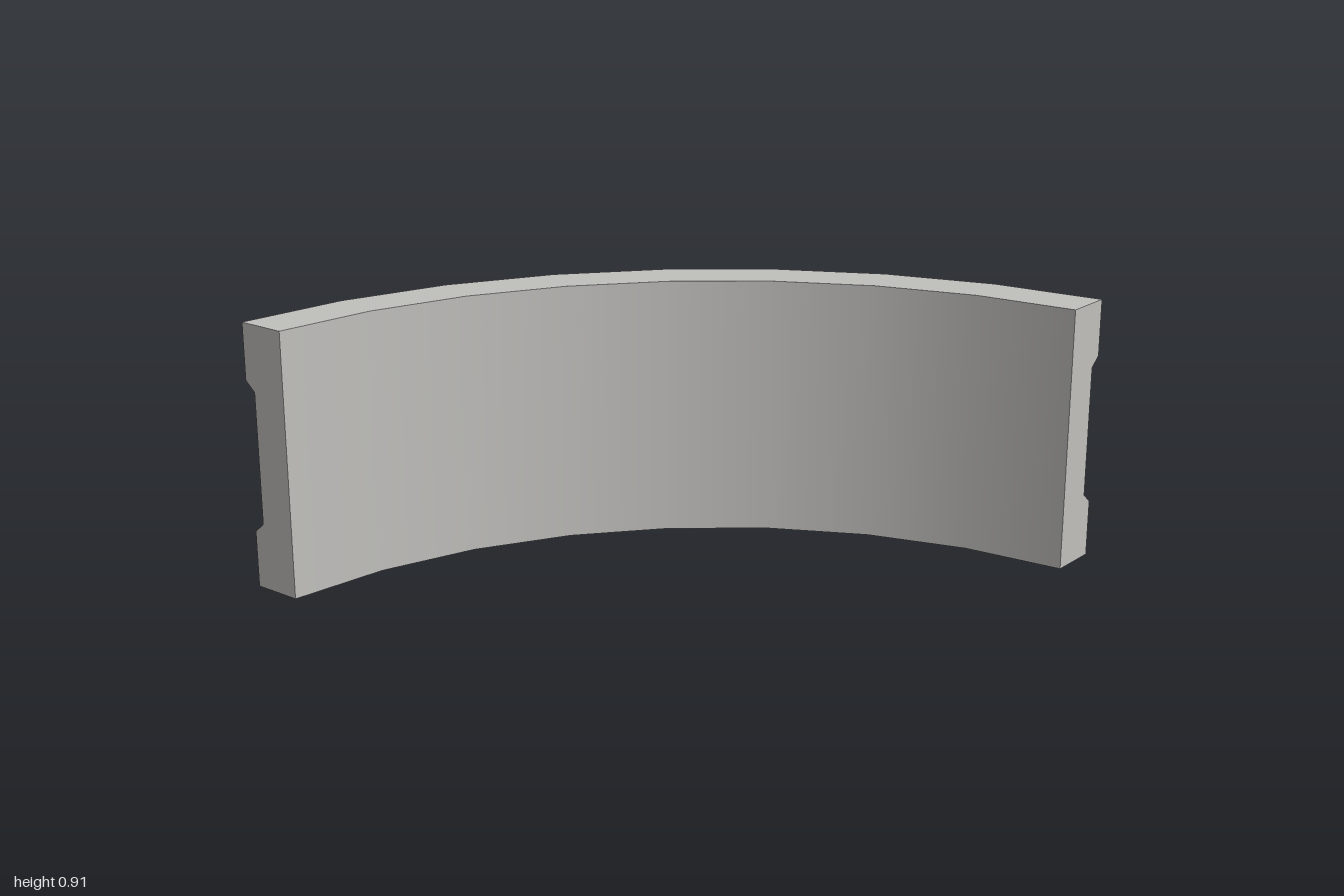
import * as THREE from 'three';

export function createModel() {
  const group = new THREE.Group();
  group.name = 'curvedWall';

  const grey = new THREE.MeshStandardMaterial({ color: 0xc0bfbc });
  grey.name = 'light grey';
  const orange = new THREE.MeshStandardMaterial({ color: 0xcb680d });
  orange.name = 'burnt orange';

  // Cross-section as [radius, height], counter-clockwise, with a bevelled groove outside
  const inner = 1.82, outer = 2, groove = 1.96, height = 0.91;
  const profile = [
    [inner, 0], [outer, 0], [outer, 0.195], [groove, 0.228],
    [groove, 0.682], [outer, 0.715], [outer, height], [inner, height],
  ];
  // One name and colour for each edge of the cross-section
  const faces = [
    ['underside', grey], ['lowerRim', grey], ['lowerBevel', grey], ['groovePanel', orange],
    ['upperBevel', orange], ['upperRim', grey], ['topSide', grey], ['innerWall', grey],
  ];

  const add = (name, geometry, material) => {
    const mesh = new THREE.Mesh(geometry, material);
    mesh.name = name;
    mesh.position.set(1, 0, 1); // centre of the arc
    group.add(mesh);
  };

  // Sweep each edge through a quarter turn, so the profile corners stay sharp
  faces.forEach(([name, material], i) => {
    const edge = [profile[i], profile[(i + 1) % profile.length]]
      .map(([r, y]) => new THREE.Vector2(r, y));
    add(name, new THREE.LatheGeometry(edge, 8, Math.PI, Math.PI / 2), material);
  });

  // Flat ends of the arc
  const section = (side) => new THREE.ShapeGeometry(
    new THREE.Shape(profile.map(([r, y]) => new THREE.Vector2(side * r, y))));
  add('frontEnd', section(-1), grey);
  add('leftEnd', section(1).rotateY(Math.PI / 2), grey);

  return group;
}
